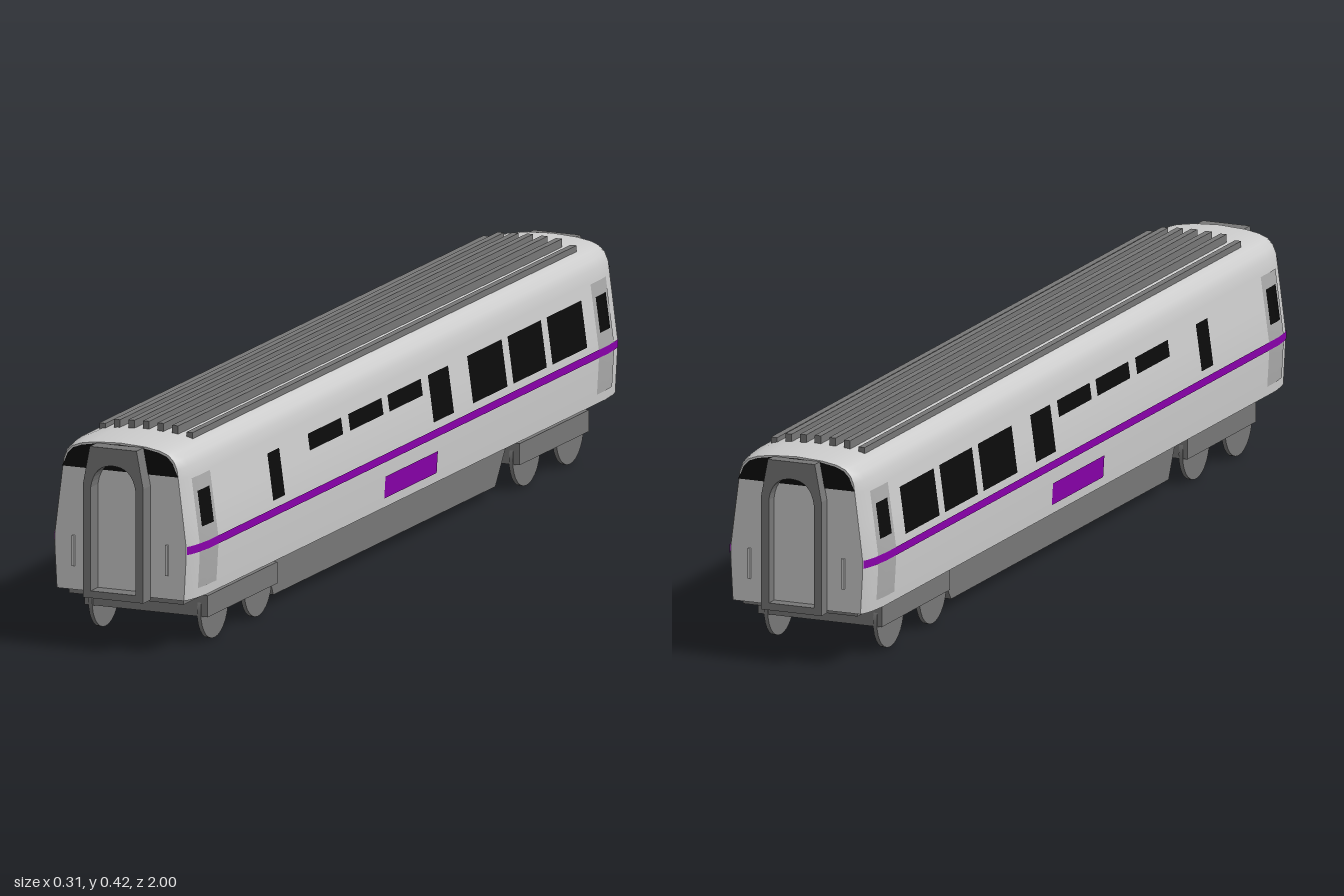
import * as THREE from 'three';
import { toCreasedNormals } from 'three/addons/utils/BufferGeometryUtils.js';

const mat = (color) => new THREE.MeshStandardMaterial({ color, side: THREE.DoubleSide });
const shell = mat(0xcccccc), dark = mat(0x777777), doorGrey = mat(0xaaaaaa);
const glass = mat(0x0a0a0a), purple = mat(0x8800aa);

// Half cross-section of the carriage, sill to roof centre
const HALF = [[0.148, 0.107], [0.153, 0.19], [0.153, 0.214], [0.144, 0.28], [0.135, 0.344],
  [0.132, 0.364], [0.125, 0.379], [0.112, 0.391], [0.092, 0.398], [0.06, 0.403], [0, 0.406]];
const PROFILE = [...HALF, ...HALF.slice(0, -1).reverse().map(([x, y]) => [-x, y])];
// Width factor along the length: the ends are rounded in plan
const STATIONS = [[-0.975, 0.9], [-0.965, 0.935], [-0.945, 0.97], [-0.9, 1],
  [0.9, 1], [0.937, 0.97], [0.957, 0.935], [0.967, 0.9]];
const FRONT = 0.967, BACK = -0.975;

function lerpTable(table, t) {
  for (let i = 1; i < table.length; i++) {
    const [a, va] = table[i - 1], [b, vb] = table[i];
    if (t <= b) return va + (vb - va) * (t - a) / (b - a);
  }
  return table[table.length - 1][1];
}
const taper = (z) => lerpTable(STATIONS, z);
const halfWidth = (y) => lerpTable(HALF.map(([x, h]) => [h, x]), y);
const place = (x, y, z) => {
  const s = taper(z);
  return [x * s, 0.107 + (y - 0.107) * (1 - (1 - s) * 0.12), z];
};

// Quad grid over two lists of parameters
function grid(us, vs, f) {
  const pos = [];
  for (let i = 0; i + 1 < us.length; i++) {
    for (let j = 0; j + 1 < vs.length; j++) {
      const a = f(us[i], vs[j]), b = f(us[i + 1], vs[j]);
      const c = f(us[i + 1], vs[j + 1]), d = f(us[i], vs[j + 1]);
      pos.push(...a, ...b, ...c, ...a, ...c, ...d);
    }
  }
  const g = new THREE.BufferGeometry();
  g.setAttribute('position', new THREE.Float32BufferAttribute(pos, 3));
  return toCreasedNormals(g, 0.55);
}

const splitRange = (a, b, breaks) => [a, ...breaks.filter((t) => t > a + 1e-4 && t < b - 1e-4), b];

// Panel that follows the curved body side
function sidePatch(side, z0, z1, y0, y1, lift) {
  const ys = splitRange(y0, y1, HALF.map((p) => p[1]));
  const zs = splitRange(z0, z1, STATIONS.map((s) => s[0]));
  if (side < 0) ys.reverse();
  return grid(ys, zs, (y, z) => {
    const p = place(halfWidth(y), y, z);
    return [side * (p[0] + lift), p[1], z];
  });
}

const shapeOf = (pts) => new THREE.Shape(pts.map(([x, y]) => new THREE.Vector2(x, y)));

export function createModel() {
  const model = new THREE.Group();
  const add = (name, geometry, material, parent = model) => {
    const mesh = new THREE.Mesh(geometry, material);
    mesh.name = name;
    parent.add(mesh);
    return mesh;
  };
  const box = (name, w, h, d, x, y, z, material, parent) =>
    add(name, new THREE.BoxGeometry(w, h, d), material, parent).position.set(x, y, z);

  // Body skin and floor
  add('bodyShell', grid(PROFILE, STATIONS.map((s) => s[0]), (p, z) => place(p[0], p[1], z)), shell);
  add('floor', grid([-1, 1], STATIONS.map((s) => s[0]), (u, z) => place(u * 0.148, 0.108, z)), dark);
  box('underframe', 0.24, 0.014, 1.9, 0.004, 0.102, 0, dark);

  // Side fittings, the same on both sides
  const windows = [[0.552, 0.605, 0.228], [0.273, 0.423, 0.287], [0.091, 0.241, 0.287],
    [-0.086, 0.064, 0.287], [-0.209, -0.118, 0.228], [-0.45, -0.295, 0.228],
    [-0.627, -0.477, 0.228], [-0.809, -0.653, 0.228]];
  for (const side of [1, -1]) {
    const fittings = new THREE.Group();
    fittings.name = side > 0 ? 'leftSide' : 'rightSide';
    model.add(fittings);
    for (const [z0, z1, y0] of windows)
      add('sideWindow', sidePatch(side, z0, z1, y0, 0.319, 0.001), glass, fittings);
    for (const [z0, z1] of [[0.857, 0.932], [-0.932, -0.857]]) {
      add('door', sidePatch(side, z0, z1, 0.126, 0.34, 0.001), doorGrey, fittings);
      add('doorWindow', sidePatch(side, z0 + 0.013, z1 - 0.013, 0.244, 0.313, 0.002), glass, fittings);
    }
    add('stripe', sidePatch(side, BACK, FRONT, 0.198, 0.214, 0.0015), purple, fittings);
    add('sidePlaque', sidePatch(side, -0.134, 0.102, 0.126, 0.169, 0.0015), purple, fittings);
  }

  // Roof ribs
  for (let i = -3; i <= 3; i++) {
    const top = [0.421, 0.42, 0.418, 0.408][Math.abs(i)];
    box('roofRib', 0.013, 0.022, 1.73, i * 0.0305, top - 0.011, -0.013, dark);
  }

  // Ends: wall, windscreen, gangway and handrails
  const endProfile = PROFILE.map(([x, y]) => place(x, y, FRONT));
  const screen = [[0.122, 0.347], ...endProfile.filter((p) => p[1] > 0.352)
    .map(([x, y]) => [x * 0.98, y - 0.003]), [-0.122, 0.347]];
  const gangway = shapeOf([[-0.063, 0.102], [0.063, 0.102], [0.063, 0.325], [0.049, 0.398], [-0.049, 0.398], [-0.063, 0.325]]);
  const opening = new THREE.Path();
  opening.moveTo(-0.047, 0.116);
  opening.lineTo(-0.047, 0.318);
  opening.bezierCurveTo(-0.043, 0.35, -0.025, 0.364, 0, 0.364);
  opening.bezierCurveTo(0.025, 0.364, 0.043, 0.35, 0.047, 0.318);
  opening.lineTo(0.047, 0.116);
  gangway.holes.push(opening);
  for (const [name, wallZ, turn] of [['frontEnd', FRONT, 0], ['backEnd', -BACK, Math.PI]]) {
    const end = new THREE.Group();
    end.name = name;
    end.rotation.y = turn;
    model.add(end);
    add('endWall', new THREE.ShapeGeometry(shapeOf(endProfile)), shell, end).position.z = wallZ;
    add('windscreen', new THREE.ShapeGeometry(shapeOf(screen)), glass, end).position.z = wallZ + 0.0015;
    add('gangwayFrame', new THREE.ExtrudeGeometry(gangway, { depth: 1 - wallZ, bevelEnabled: false, curveSegments: 8 }),
      dark, end).position.z = wallZ;
    for (const x of [-0.098, 0.098]) box('handrail', 0.005, 0.06, 0.004, x, 0.183, wallZ + 0.002, shell, end);
  }

  // Equipment box with sloping ends under the floor
  const belly = shapeOf([[-0.55, 0.106], [-0.49, 0.02], [0.51, 0.02], [0.55, 0.106]]);
  const bellyGeometry = new THREE.ExtrudeGeometry(belly, { depth: 0.21, bevelEnabled: false });
  bellyGeometry.rotateY(-Math.PI / 2).translate(0.108, 0, 0);
  add('equipmentBox', bellyGeometry, dark);

  // Bogies with thin wheel discs
  for (const z of [0.705, -0.7]) {
    const bogie = new THREE.Group();
    bogie.name = z > 0 ? 'frontBogie' : 'backBogie';
    bogie.position.set(0.005, 0, z);
    model.add(bogie);
    box('bogieFrame', 0.258, 0.042, 0.314, 0, 0.074, 0, dark, bogie);
    for (const x of [-0.116, 0.112]) for (const dz of [-0.098, 0.098]) {
      const wheel = add('wheel', new THREE.CylinderGeometry(0.062, 0.062, 0.008, 28), dark, bogie);
      wheel.rotation.z = Math.PI / 2;
      wheel.position.set(x, 0.062, dz);
    }
  }
  return model;
}
